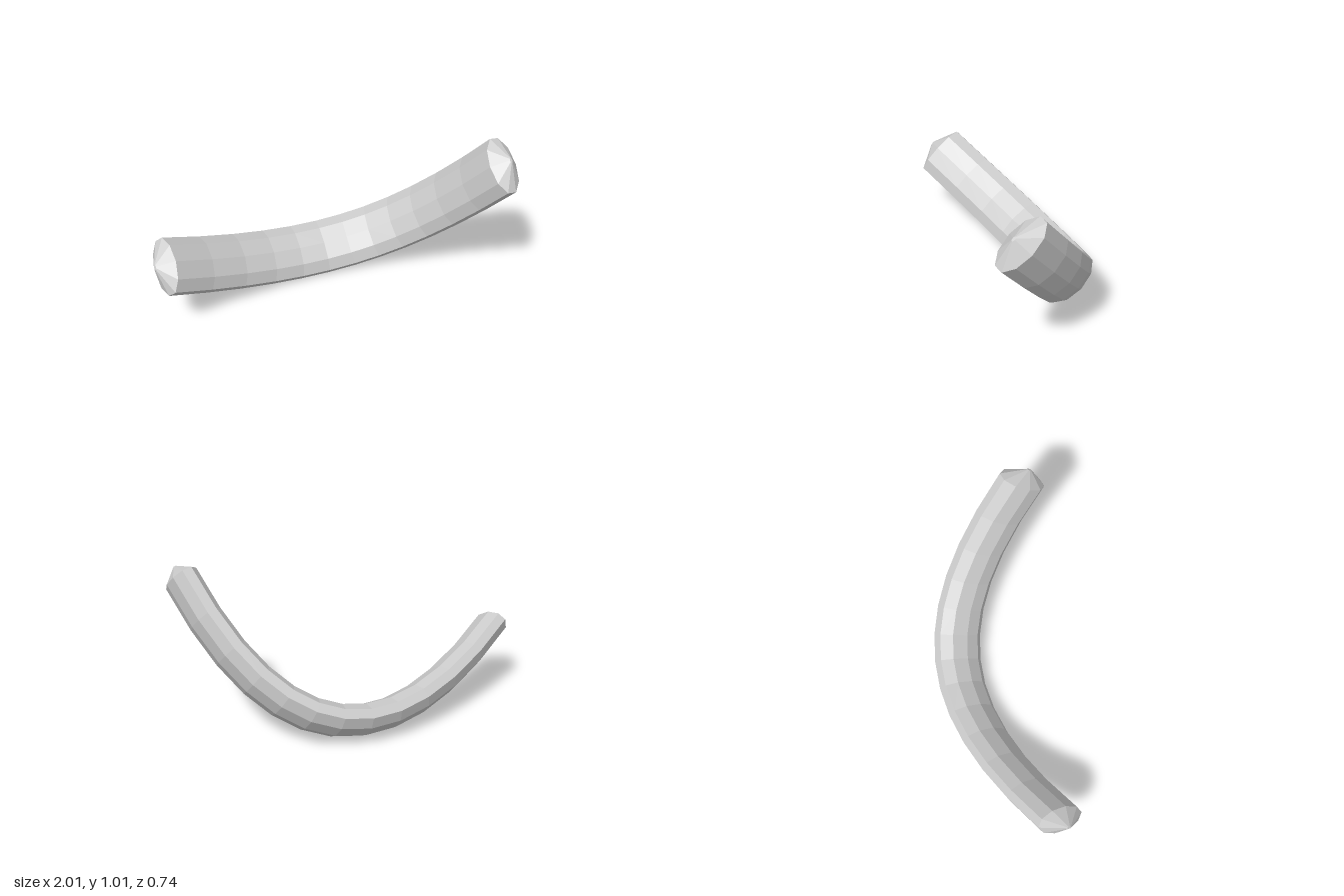
import * as THREE from 'three';

const SIDES = 10;
const STEPS = 12;
const HALF_WIDTH = 0.168;  // across the plane of the bend
const HALF_DEPTH = 0.09;   // within the plane of the bend
const TIP_LENGTH = 0.076;
const TIP_SCALE = 0.09;

export function createModel() {
  const path = new THREE.QuadraticBezierCurve3(
    new THREE.Vector3(-0.94, 0.42, 0.235),
    new THREE.Vector3(0.31, -0.356, -0.705),
    new THREE.Vector3(0.92, 0.91, 0.235)
  );

  // Normal of the plane in which the path bends
  const planeNormal = path.getTangent(0).cross(path.getTangent(1)).normalize();
  if (planeNormal.y < 0) planeNormal.negate();

  // Rings along the path, with a small extra ring past each end for the tips
  const rings = [{ t: 0, push: -TIP_LENGTH, scale: TIP_SCALE }];
  for (let i = 0; i <= STEPS; i++) rings.push({ t: i / STEPS, push: 0, scale: 1 });
  rings.push({ t: 1, push: TIP_LENGTH, scale: TIP_SCALE });

  const positions = [];
  for (const { t, push, scale } of rings) {
    const tangent = path.getTangent(t);
    const across = tangent.clone().cross(planeNormal);
    const centre = path.getPoint(t).addScaledVector(tangent, push);
    for (let j = 0; j < SIDES; j++) {
      const angle = ((j + 0.5) / SIDES) * Math.PI * 2;
      const p = centre.clone()
        .addScaledVector(planeNormal, Math.cos(angle) * HALF_WIDTH * scale)
        .addScaledVector(across, Math.sin(angle) * HALF_DEPTH * scale);
      positions.push(p.x, p.y, p.z);
    }
  }

  // Skin between neighbouring rings
  const index = [];
  for (let i = 0; i < rings.length - 1; i++) {
    for (let j = 0; j < SIDES; j++) {
      const a = i * SIDES + j;
      const b = i * SIDES + ((j + 1) % SIDES);
      index.push(a, b, b + SIDES, a, b + SIDES, a + SIDES);
    }
  }

  // Blunt ends of both tips
  const last = (rings.length - 1) * SIDES;
  for (let j = 1; j < SIDES - 1; j++) {
    index.push(0, j + 1, j);
    index.push(last, last + j, last + j + 1);
  }

  const geometry = new THREE.BufferGeometry();
  geometry.setAttribute('position', new THREE.Float32BufferAttribute(positions, 3));
  geometry.setIndex(index);
  geometry.computeVertexNormals();

  const body = new THREE.Mesh(
    geometry,
    new THREE.MeshStandardMaterial({ color: 0xcccccc, flatShading: true })
  );
  body.name = 'curvedBody';

  const group = new THREE.Group();
  group.name = 'curvedBar';
  group.add(body);
  return group;
}
